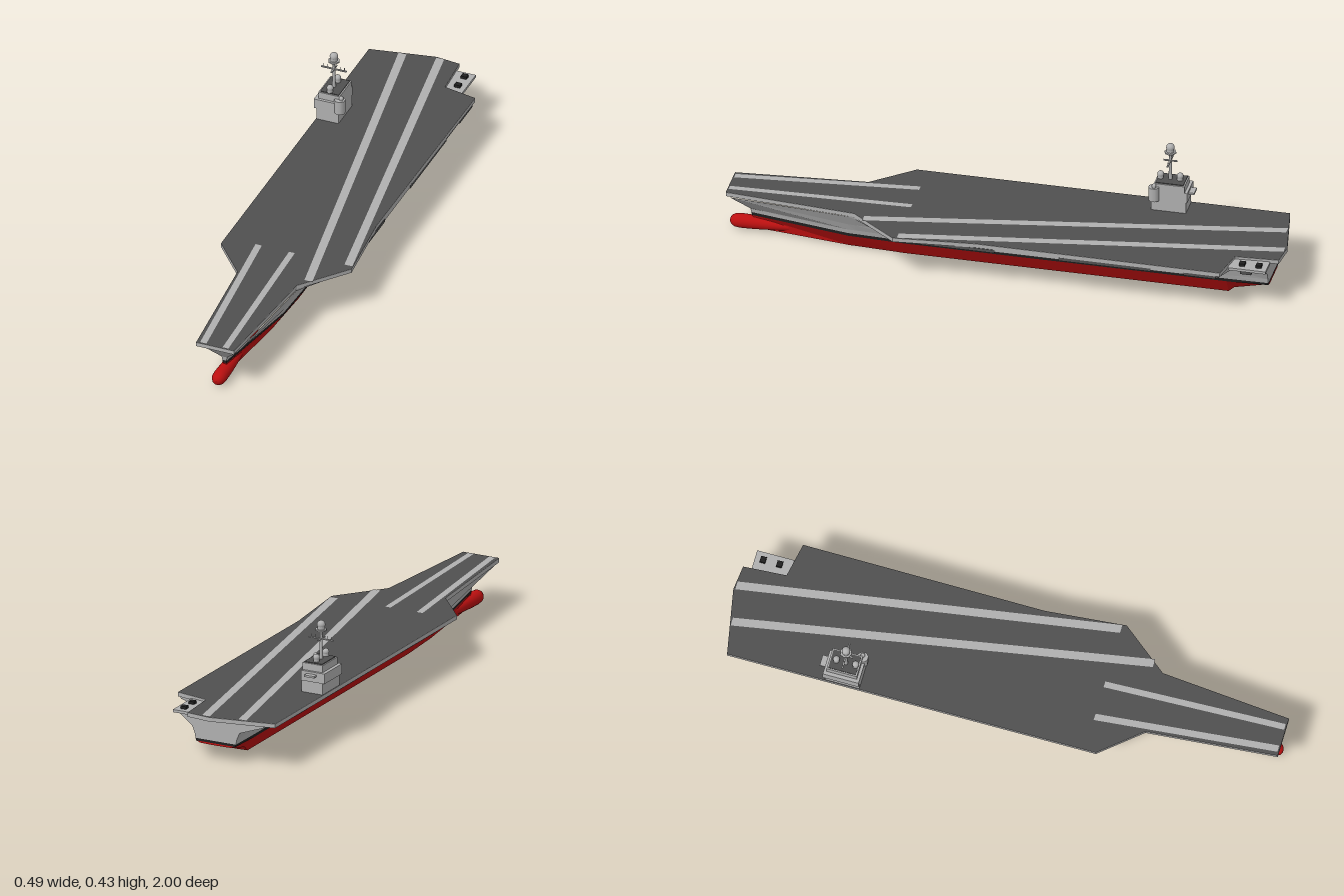
import * as THREE from 'three';

const mat = (name, color) => Object.assign(new THREE.MeshStandardMaterial({ color }), { name });

export function createModel() {
  const grey = mat('hull grey', 0xb0b0b0);
  const dark = mat('deck grey', 0x505050);
  const red = mat('antifouling red', 0xbd1010);
  const black = mat('waterline black', 0x202020);

  const model = new THREE.Group();
  const add = (parent, name, geo, material, x = 0, y = 0, z = 0) => {
    const m = new THREE.Mesh(geo, material);
    m.name = name;
    m.position.set(x, y, z);
    parent.add(m);
    return m;
  };
  const box = (parent, name, material, x0, x1, y0, y1, z0, z1) =>
    add(parent, name, new THREE.BoxGeometry(x1 - x0, y1 - y0, z1 - z0), material,
      (x0 + x1) / 2, (y0 + y1) / 2, (z0 + z1) / 2);

  // Hull cross-sections, keel to deck, from bow to stern for one side
  const levels = [0.004, 0.005, 0.064, 0.076, 0.093, 0.12, 0.155, 0.165];
  const station = (z, xs, ys = levels) => xs.map((x, i) => [x, ys[i], z]);
  const stations = (s) => {
    const aft = s > 0 ? 0.14 : 0.19;
    const full = [0, 0.045, 0.08, 0.082, 0.086, 0.094, 0.22, 0.22];
    const bow = [[0, 0.012, 0.89], [0.004, 0.012, 0.89], [0.007, 0.064, 0.92], [0.008, 0.076, 0.922],
      [0.01, 0.092, 0.925], [0.075, 0.165, 0.985], [0.075, 0.165, 0.985], [0.075, 0.165, 0.985]];
    const after = [...full.slice(0, 6), aft, aft];
    return [
      bow,
      station(0.56, [0, 0.035, 0.072, 0.074, 0.078, 0.088, 0.105, 0.11]),
      station(0.53, [0, 0.036, 0.073, 0.075, 0.079, 0.09, 0.107, 0.11]),
      station(s > 0 ? 0.36 : 0.385, full),
      station(-0.75, full),
      station(-0.8, full),
      station(-0.82, after, [0.022, 0.023, ...levels.slice(2)]),
      station(-0.95, [0, 0.06, 0.078, 0.08, 0.083, 0.094, aft, aft], [0.06, 0.061, 0.067, ...levels.slice(3)]),
    ].map((st) => st.map(([x, y, z]) => new THREE.Vector3(x * s, y, z)));
  };
  const port = stations(1), starboard = stations(-1);

  // Skins the rows between two levels, with bow and stern faces
  const hullBand = (from, to) => {
    const pts = [];
    const quad = (a, b, c, d, flip) => pts.push(...(flip ? [a, c, b, b, c, d] : [a, b, c, b, d, c]));
    for (let i = from; i < to; i++) {
      [port, starboard].forEach((side, k) => {
        for (let j = 0; j < side.length - 1; j++)
          quad(side[j][i], side[j + 1][i], side[j][i + 1], side[j + 1][i + 1], k === 1);
      });
      const e = port.length - 1;
      quad(starboard[0][i], port[0][i], starboard[0][i + 1], port[0][i + 1], false);
      quad(starboard[e][i], port[e][i], starboard[e][i + 1], port[e][i + 1], true);
    }
    const g = new THREE.BufferGeometry().setFromPoints(pts);
    g.computeVertexNormals();
    return g;
  };
  add(model, 'lowerHull', hullBand(0, 2), red);
  add(model, 'waterline', hullBand(2, 3), black);
  add(model, 'upperHull', hullBand(3, 7), grey);

  // Bulbous bow, tapering back into the hull
  const bulbProfile = [[0.006, -0.4], [0.018, -0.2], [0.025, -0.09], [0.026, -0.04], [0.024, -0.02],
    [0.017, -0.007], [0.009, -0.002], [0, 0]].map(([r, y]) => new THREE.Vector2(r, y));
  const bulb = add(model, 'bulbousBow', new THREE.LatheGeometry(bulbProfile, 20), red, 0, 0.033, 1);
  bulb.rotation.x = Math.PI / 2;

  // Flight deck slab with a dark surface
  const outline = [[-0.075, 1], [0.068, 1], [0.11, 0.53], [0.246, 0.36], [0.22, 0.07], [0.225, -0.81],
    [0.1, -0.835], [0.09, -0.99], [0, -1], [-0.238, -0.955], [-0.238, 0.385], [-0.115, 0.53]];
  const flat = (pts) => new THREE.Shape(pts.map(([x, z]) => new THREE.Vector2(x, -z)));
  const slab = new THREE.ExtrudeGeometry(flat(outline), { depth: 0.015, bevelEnabled: false });
  add(model, 'flightDeck', slab.rotateX(-Math.PI / 2), grey, 0, 0.164, 0);
  add(model, 'deckSurface', new THREE.ShapeGeometry(flat(outline)).rotateX(-Math.PI / 2), dark, 0, 0.1797, 0);

  // Landing lane lines and catapult tracks: x, z at each end, half width
  [['laneLine', -0.118, -0.972, 0.137, 0.49, 0.015], ['laneLine', 0.016, -0.993, 0.228, 0.345, 0.015],
    ['catapultTrack', -0.112, 0.345, -0.05, 0.995, 0.012], ['catapultTrack', 0.014, 0.345, 0.034, 0.995, 0.011],
  ].forEach(([name, x0, z0, x1, z1, w]) => {
    const shape = flat([[x0 - w, z0], [x0 + w, z0], [x1 + w, z1], [x1 - w, z1]]);
    add(model, name, new THREE.ShapeGeometry(shape).rotateX(-Math.PI / 2), grey, 0, 0.1808, 0);
  });

  // Hangar openings under the overhanging sides
  for (const s of [1, -1]) {
    for (const [z0, z1] of [[0, 0.28], [-0.56, -0.23], [-0.795, -0.68]]) {
      const panel = box(model, 'hangarOpening', dark, -0.066, 0.066, -0.003, 0.003, z0, z1);
      panel.position.set(s * 0.157, 0.1365, (z0 + z1) / 2);
      panel.rotation.z = s * Math.atan2(0.035, 0.126);
      box(model, 'hangarSill', dark, s * 0.22 - 0.002, s * 0.22 + 0.002, 0.153, 0.164, z0, z1);
    }
  }

  // Stern ledge with launchers and a side port
  box(model, 'sternLedge', grey, 0.09, 0.165, 0.16, 0.17, -0.96, -0.825);
  for (const z of [-0.93, -0.87]) box(model, 'launcher', black, 0.124, 0.146, 0.17, 0.18, z - 0.01, z + 0.01);
  box(model, 'sternPort', dark, 0.105, 0.128, 0.128, 0.142, -0.9, -0.86);

  // Island
  const island = new THREE.Group();
  island.name = 'island';
  model.add(island);
  box(island, 'islandBase', grey, -0.236, -0.153, 0.179, 0.223, -0.6, -0.475);
  box(island, 'islandBridge', grey, -0.246, -0.153, 0.223, 0.26, -0.605, -0.475);
  box(island, 'islandTop', grey, -0.233, -0.153, 0.26, 0.286, -0.595, -0.485);
  box(island, 'islandRoof', dark, -0.228, -0.158, 0.286, 0.289, -0.59, -0.49);
  const lookout = new THREE.CylinderGeometry(0.02, 0.02, 0.052, 8).rotateY(Math.PI / 8);
  add(island, 'lookout', lookout, grey, -0.152, 0.248, -0.486);
  box(island, 'aftPlatform', grey, -0.215, -0.175, 0.245, 0.252, -0.625, -0.6);

  // Domes on short drums
  const dome = (name, x, y, z, r, h) => {
    add(island, name + 'Drum', new THREE.CylinderGeometry(r * 0.9, r * 0.9, h, 14), grey, x, y + h / 2, z);
    add(island, name, new THREE.SphereGeometry(r, 16, 10), grey, x, y + h, z);
  };
  dome('foreDome', -0.195, 0.288, -0.5, 0.012, 0.016);
  dome('aftDome', -0.195, 0.288, -0.57, 0.012, 0.016);
  dome('lookoutDome', -0.147, 0.272, -0.487, 0.008, 0.008);

  // Mast with crossed yards, aerials and a top dome
  add(island, 'mast', new THREE.CylinderGeometry(0.004, 0.007, 0.11, 10), grey, -0.195, 0.341, -0.535);
  box(island, 'yard', grey, -0.243, -0.147, 0.36, 0.364, -0.538, -0.532);
  box(island, 'crossYard', grey, -0.198, -0.192, 0.36, 0.364, -0.56, -0.51);
  for (const dx of [-0.04, -0.024, 0.024, 0.04])
    add(island, 'aerial', new THREE.CylinderGeometry(0.001, 0.001, 0.012, 6), grey, -0.195 + dx, 0.369, -0.535);
  add(island, 'mastPlatform', new THREE.CylinderGeometry(0.021, 0.021, 0.005, 8), grey, -0.195, 0.396, -0.535);
  dome('mastDome', -0.195, 0.398, -0.535, 0.015, 0.017);

  return model;
}
